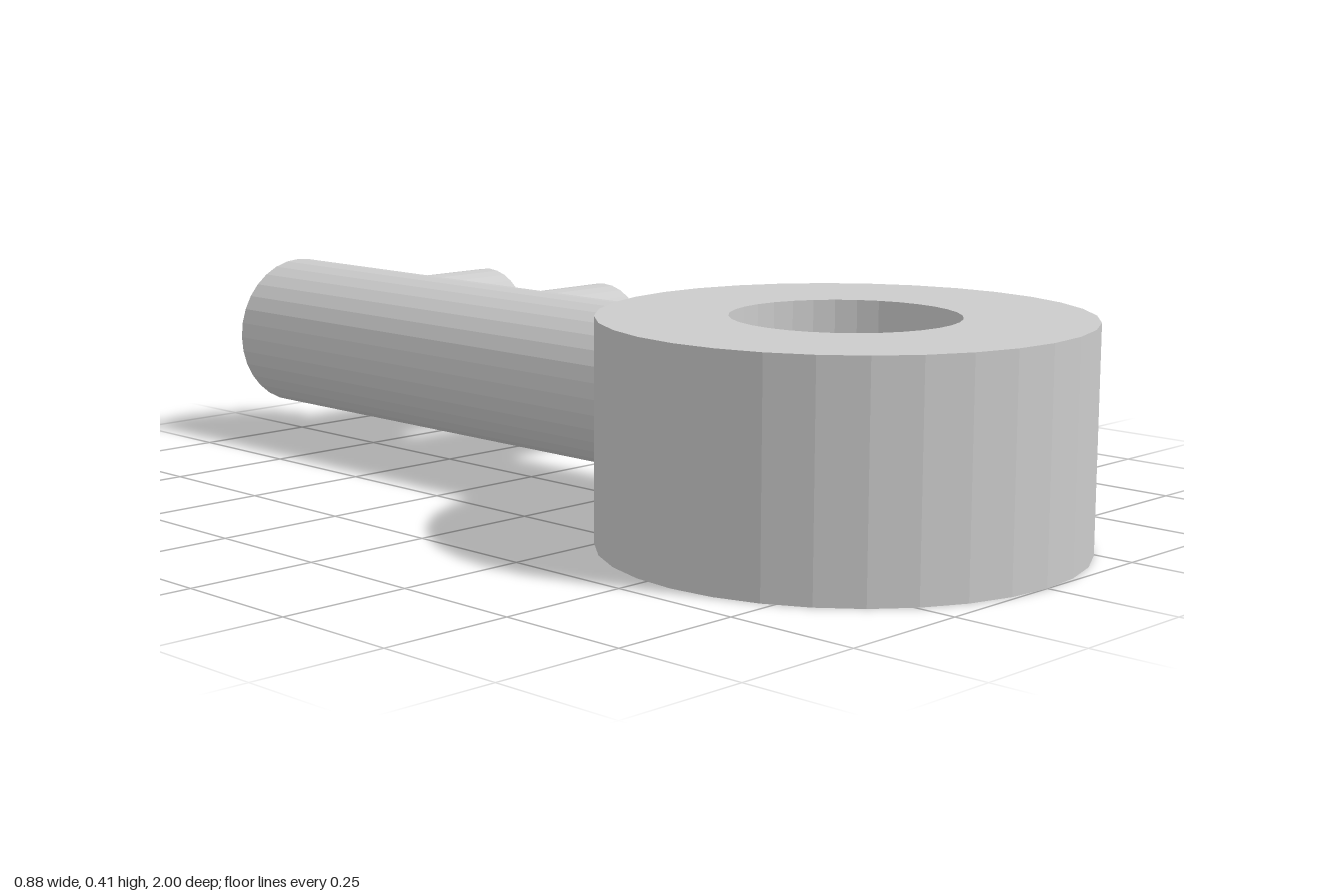
import * as THREE from 'three';

const SIDES = 32;
const AXIS_Y = 0.22; // height of the shaft and teeth centrelines

export function createModel() {
  const group = new THREE.Group();
  const material = new THREE.MeshStandardMaterial({ color: 0xcccccc, flatShading: true });

  const add = (name, geometry, x, y, z) => {
    const mesh = new THREE.Mesh(geometry, material);
    mesh.name = name;
    mesh.position.set(x, y, z);
    group.add(mesh);
  };

  // Thick ring handle: rectangular section turned around the hole
  const inner = 0.205, outer = 0.44, height = 0.41;
  const section = [[inner, 0], [outer, 0], [outer, height], [inner, height], [inner, 0]]
    .map(([r, y]) => new THREE.Vector2(r, y));
  add('ringHandle', new THREE.LatheGeometry(section, SIDES), 0, 0, 0.56);

  // Round shaft running back from inside the ring wall
  const front = 0.22, back = -1;
  const shaft = new THREE.CylinderGeometry(0.157, 0.157, front - back, SIDES).rotateX(Math.PI / 2);
  add('shaft', shaft, 0, AXIS_Y, (front + back) / 2);

  // Two round teeth on the left side of the shaft
  const toothLength = 0.36;
  [-0.405, -0.77].forEach((z, i) => {
    const tooth = new THREE.CylinderGeometry(0.124, 0.124, toothLength, SIDES).rotateZ(Math.PI / 2);
    add(`tooth${i + 1}`, tooth, toothLength / 2, AXIS_Y, z);
  });

  return group;
}
